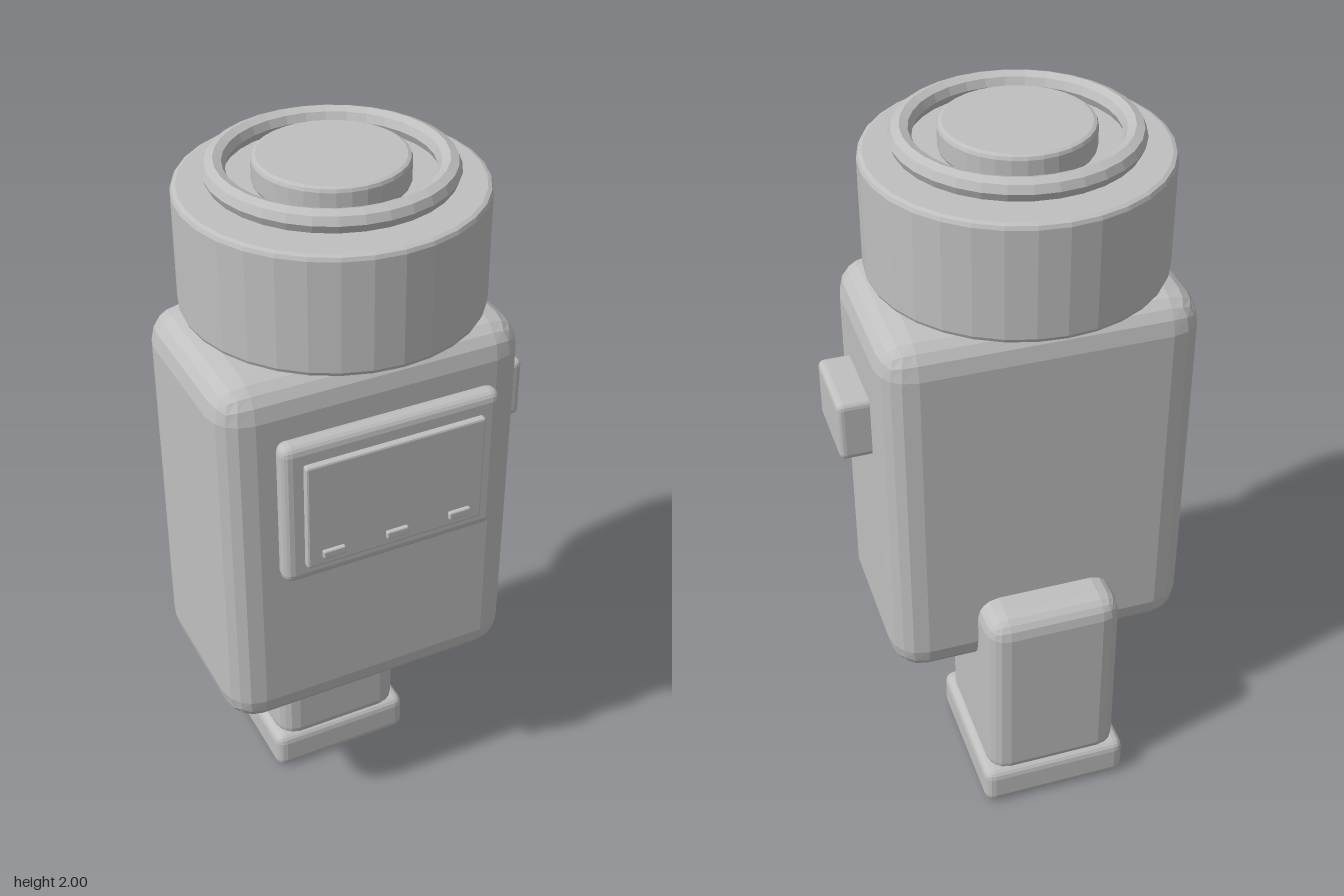
import * as THREE from 'three';
import { RoundedBoxGeometry } from 'three/addons/geometries/RoundedBoxGeometry.js';

const CX = -0.045; // shared vertical axis of body, head and grip

export function createModel() {
  const group = new THREE.Group();
  const grey = new THREE.MeshStandardMaterial({ color: 0xbfbfbf, flatShading: true });
  grey.name = 'plain grey';

  const add = (name, geometry, x, y, z) => {
    const mesh = new THREE.Mesh(geometry, grey);
    mesh.name = name;
    mesh.position.set(x, y, z);
    group.add(mesh);
    return mesh;
  };

  // Rounded block given by its extents on each axis
  const block = (name, [x0, x1], [y0, y1], [z0, z1], radius, segments = 2) =>
    add(name, new RoundedBoxGeometry(x1 - x0, y1 - y0, z1 - z0, segments, radius),
      (x0 + x1) / 2, (y0 + y1) / 2, (z0 + z1) / 2);

  // Turned drum with softened rims
  const drum = (name, r, y0, y1, bevel) => {
    const b = bevel * 0.3;
    const points = [
      [0, y0], [r - bevel, y0], [r - b, y0 + b], [r, y0 + bevel],
      [r, y1 - bevel], [r - b, y1 - b], [r - bevel, y1], [0, y1],
    ].map(([x, y]) => new THREE.Vector2(x, y));
    return add(name, new THREE.LatheGeometry(points, 32), CX, 0, 0);
  };

  // Main housing
  block('body', [-0.477, 0.387], [0.45, 1.563], [-0.267, 0.273], 0.095);

  // Grip and its foot
  block('grip', [-0.24, 0.15], [0.08, 0.695], [-0.387, 0.04], 0.06);
  block('foot', [-0.26, 0.17], [0, 0.127], [-0.402, 0.05], 0.03);

  // Side button
  block('sideButton', [0.36, 0.473], [1.152, 1.33], [-0.115, 0.117], 0.018);

  // Display panel with screen and three small keys
  block('displayFrame', [-0.352, 0.26], [1.012, 1.437], [0.299, 0.359], 0.028);
  block('screen', [-0.297, 0.205], [1.066, 1.38], [0.345, 0.377], 0.006, 1);
  for (const x of [-0.226, -0.046, 0.136]) {
    block('key', [x - 0.031, x + 0.031], [1.092, 1.115], [0.372, 0.388], 0.004, 1);
  }

  // Head with raised rim and central lens disc
  drum('head', 0.395, 1.607, 1.93, 0.014);
  const rim = add('headRim', new THREE.TorusGeometry(0.288, 0.03, 8, 32), CX, 1.965, 0);
  rim.rotation.x = -Math.PI / 2;
  drum('lensDisc', 0.197, 1.925, 2, 0.012);

  return group;
}
